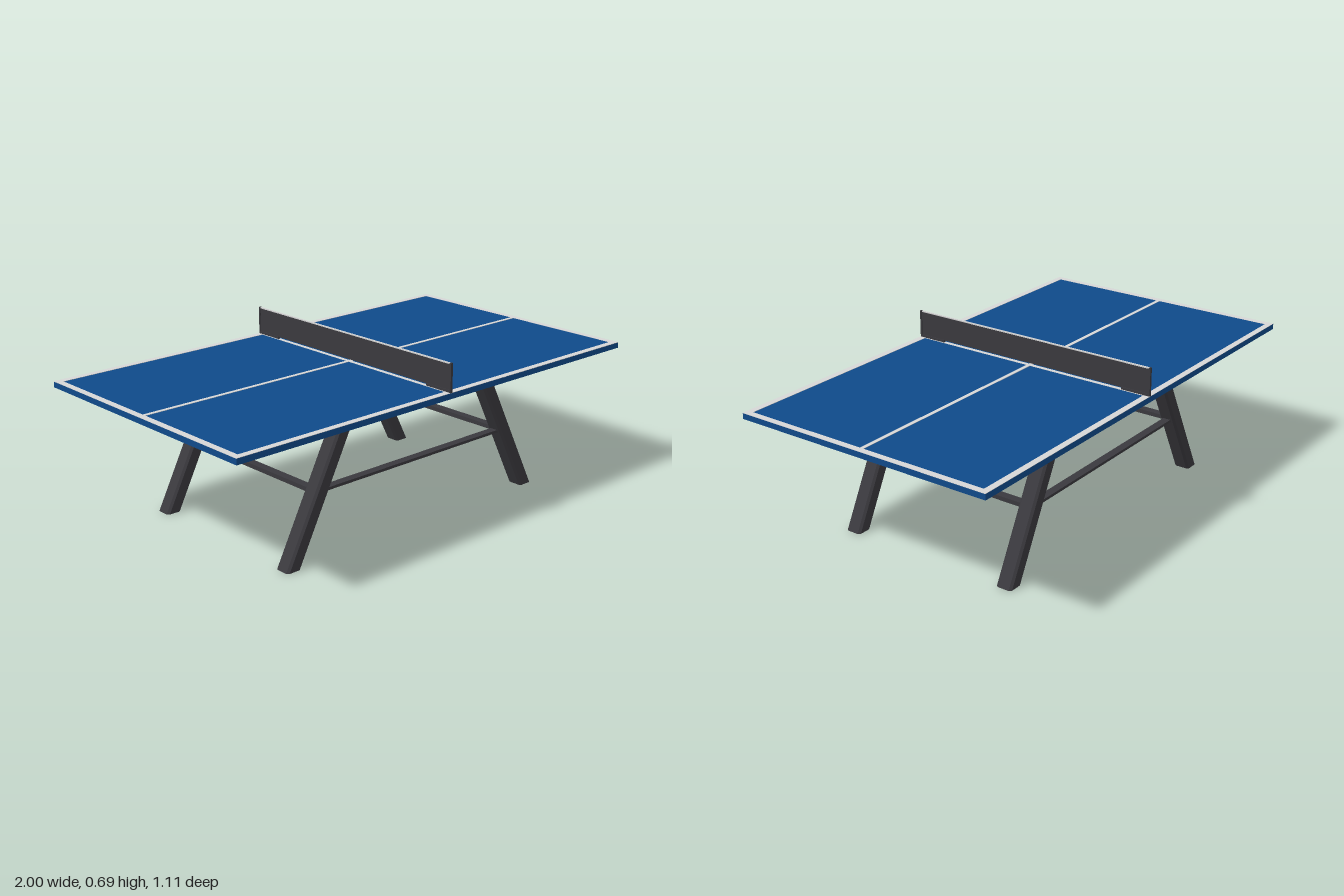
import * as THREE from 'three';

export function createModel() {
  const model = new THREE.Group();
  model.name = 'tableTennisTable';

  const material = (name, color) => {
    const m = new THREE.MeshStandardMaterial({ color });
    m.name = name;
    return m;
  };
  const blue = material('blueTop', 0x0f4a8a);
  const white = material('whiteLine', 0xd6d6d6);
  const dark = material('darkMetal', 0x3a393e);

  const add = (name, geometry, mat, x = 0, y = 0, z = 0) => {
    const mesh = new THREE.Mesh(geometry, mat);
    mesh.name = name;
    mesh.position.set(x, y, z);
    model.add(mesh);
    return mesh;
  };
  const box = (name, w, h, d, mat, x, y, z) =>
    add(name, new THREE.BoxGeometry(w, h, d), mat, x, y, z);

  // Rectangle outline with cut corners
  const chamferedRect = (w, h, c) => {
    const a = w / 2, b = h / 2;
    return new THREE.Shape([
      [a - c, -b], [a, -b + c], [a, b - c], [a - c, b],
      [-a + c, b], [-a, b - c], [-a, -b + c], [-a + c, -b],
    ].map(([x, y]) => new THREE.Vector2(x, y)));
  };

  // Table top
  box('tableTop', 2, 0.023, 1.11, blue, 0, 0.5615, 0);

  // Painted lines
  const lineY = 0.5735;
  for (const s of [-1, 1]) {
    box('sideLine', 2, 0.002, 0.026, white, 0, lineY, s * 0.542);
    box('endLine', 0.026, 0.002, 1.058, white, s * 0.987, lineY, 0);
    box('centreLine', 0.966, 0.002, 0.016, white, s * 0.491, lineY, 0);
  }
  box('netLine', 0.016, 0.002, 1.058, white, 0, lineY, 0);

  // Slanted legs: a chamfered bar sheared outwards towards the floor
  const legHeight = 0.55;
  const legGeometry = new THREE.ExtrudeGeometry(chamferedRect(0.065, 0.068, 0.009), {
    depth: legHeight, bevelEnabled: false,
  });
  legGeometry.rotateX(-Math.PI / 2);
  const p = legGeometry.attributes.position;
  for (let i = 0; i < p.count; i++) {
    p.setX(i, p.getX(i) + 0.632 - 0.282 * p.getY(i) / legHeight);
  }
  legGeometry.computeVertexNormals();
  for (const sx of [-1, 1]) {
    for (const sz of [-1, 1]) {
      const leg = add('leg', legGeometry, dark, 0, 0, sz * 0.366);
      if (sx < 0) leg.rotation.y = Math.PI;
    }
  }

  // Rails joining the legs
  for (const s of [-1, 1]) {
    box('longRail', 0.97, 0.011, 0.034, dark, 0, 0.268, s * 0.366);
    box('endRail', 0.034, 0.017, 0.68, dark, s * 0.496, 0.267, 0);
  }

  // Net with its top tape
  box('net', 0.004, 0.102, 1.095, dark, 0, 0.633, 0);
  box('netTape', 0.006, 0.005, 1.095, white, 0, 0.6855, 0);

  // Curved clamp arm below the table, drawn in the z-y plane
  const arm = new THREE.Shape();
  arm.moveTo(0.43, 0.551);
  arm.lineTo(0.455, 0.542);
  arm.quadraticCurveTo(0.495, 0.546, 0.522, 0.534);
  arm.lineTo(0.527, 0.538);
  arm.quadraticCurveTo(0.5, 0.55, 0.475, 0.551);
  const armGeometry = new THREE.ExtrudeGeometry(arm, { depth: 0.01, bevelEnabled: false });
  armGeometry.translate(0, 0, -0.005);

  // Net posts and clamps
  for (const s of [-1, 1]) {
    box('netPost', 0.01, 0.115, 0.008, dark, 0, 0.6305, s * 0.551);
    box('clampPlate', 0.01, 0.011, 0.125, dark, 0, 0.579, s * 0.4925);
    add('clampArm', armGeometry, dark).rotation.y = -s * Math.PI / 2;
  }

  return model;
}
